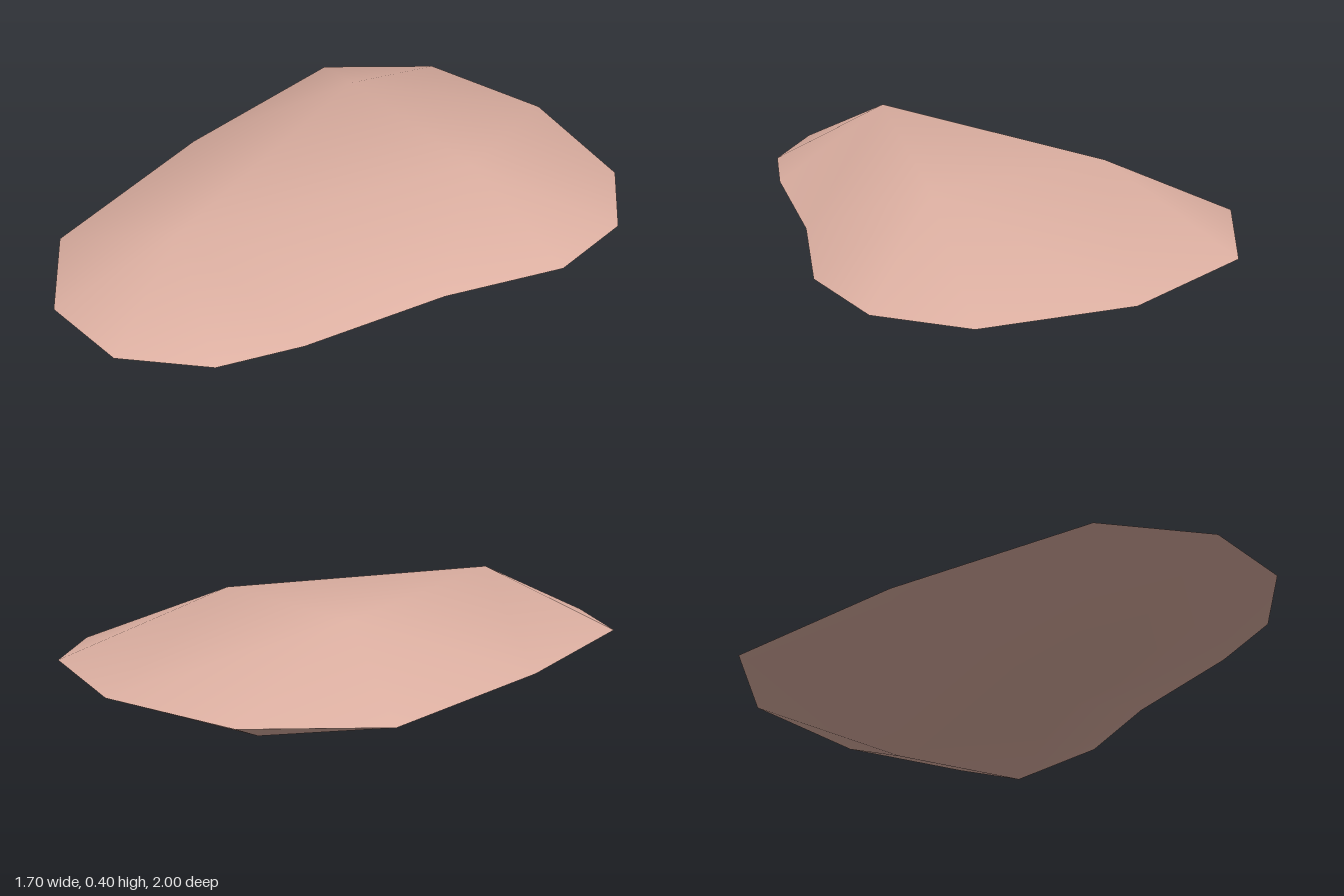
import * as THREE from 'three';

// Rim of the pebble as (x, z), going round from the back towards the right
const RIM = [
  [-0.15, -1], [0.35, -0.9], [0.75, -0.6], [0.85, -0.3], [0.75, 0], [0.45, 0.3], [0.15, 0.7],
  [-0.05, 0.9], [-0.35, 1], [-0.65, 0.9], [-0.85, 0.6], [-0.75, -0.1], [-0.55, -0.8],
];
const RIM_HEIGHT = 0.2;
// Small flat plateaus: front, right and back corner
const TOP = [[-0.35, 0.6], [0.35, -0.15], [-0.25, -0.45]];
const BOTTOM = [[-0.15, 0.25], [0.45, -0.2], [0.05, -0.5]];
// Rim points where the slope passes from one plateau corner to the next
const RIGHT_START = 1, FRONT_START = 5, BACK_START = 11;

// One half of the pebble: a flat triangle joined to the rim by sloping faces
function halfShell(plateau, height, facesUp) {
  const n = RIM.length;
  const [front, right, back] = [n, n + 1, n + 2];
  const positions = [
    ...RIM.flatMap(([x, z]) => [x, RIM_HEIGHT, z]),
    ...plateau.flatMap(([x, z]) => [x, height, z]),
  ];
  const faces = [
    [front, right, back],
    [right, front, FRONT_START],
    [back, right, RIGHT_START],
    [front, back, BACK_START],
  ];
  for (let i = 0; i < n; i++) {
    let corner = back;
    if (i >= RIGHT_START && i < FRONT_START) corner = right;
    else if (i >= FRONT_START && i < BACK_START) corner = front;
    faces.push([(i + 1) % n, i, corner]);
  }
  const geometry = new THREE.BufferGeometry();
  geometry.setAttribute('position', new THREE.Float32BufferAttribute(positions, 3));
  geometry.setIndex(faces.flatMap(([a, b, c]) => (facesUp ? [a, b, c] : [a, c, b])));
  geometry.computeVertexNormals();
  return geometry;
}

export function createModel() {
  const group = new THREE.Group();
  group.name = 'pebble';
  const stone = new THREE.MeshStandardMaterial({ color: 0xdcafa1 });
  stone.name = 'pinkStone';

  // Separate halves keep the rim sharp while each side stays smooth
  const upper = new THREE.Mesh(halfShell(TOP, 0.4, true), stone);
  upper.name = 'upperHalf';
  const lower = new THREE.Mesh(halfShell(BOTTOM, 0, false), stone);
  lower.name = 'lowerHalf';
  group.add(upper, lower);
  return group;
}
